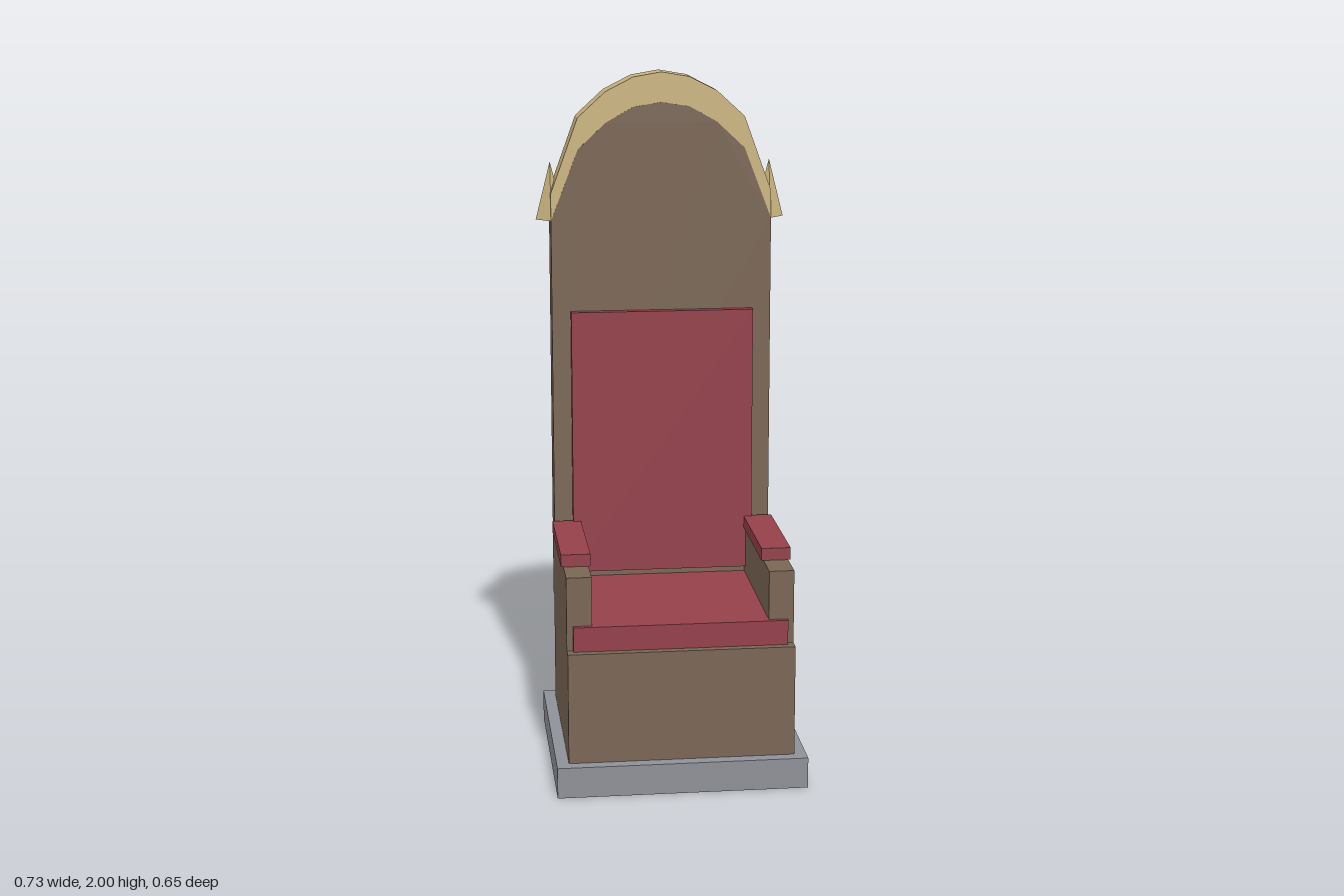
import * as THREE from 'three';

export function createModel() {
  const model = new THREE.Group();
  model.name = 'throne';

  const material = (name, color) => {
    const m = new THREE.MeshStandardMaterial({ color, flatShading: true });
    m.name = name;
    return m;
  };
  const wood = material('brown wood', 0x7a6655);
  const cloth = material('red cloth', 0x94404a);
  const gold = material('pale gold', 0xcbb480);
  const stone = material('grey stone', 0x8f9198);

  const add = (name, geometry, mat) => {
    const mesh = new THREE.Mesh(geometry, mat);
    mesh.name = name;
    model.add(mesh);
    return mesh;
  };
  // Box given by its lower and upper limits on each axis
  const box = (name, mat, [x0, x1], [y0, y1], [z0, z1]) =>
    add(name, new THREE.BoxGeometry(x1 - x0, y1 - y0, z1 - z0), mat)
      .position.set((x0 + x1) / 2, (y0 + y1) / 2, (z0 + z1) / 2);
  // Flat outline extruded between two depths
  const slab = (name, mat, points, z0, z1) => {
    const shape = new THREE.Shape(points.map(([x, y]) => new THREE.Vector2(x, y)));
    const geometry = new THREE.ExtrudeGeometry(shape, { depth: z1 - z0, bevelEnabled: false });
    add(name, geometry.translate(0, 0, z0), mat);
  };
  // Mirrors a half arch (centre to right) into a full run from right to left
  const arch = (half) => [
    ...half.slice().reverse(),
    ...half.slice(1).map(([x, y]) => [-x, y]),
  ];

  // Plinth and seat block
  box('plinth', stone, [-0.36, 0.36], [0, 0.09], [-0.325, 0.325]);
  box('seatBlock', wood, [-0.325, 0.325], [0.09, 0.415], [-0.285, 0.29]);

  // Cushions
  box('seatCushion', cloth, [-0.307, 0.307], [0.415, 0.487], [-0.232, 0.267]);
  box('backCushion', cloth, [-0.27, 0.27], [0.508, 1.302], [-0.235, -0.206]);

  // Tall back with an arched top
  const inner = arch([[0, 1.913], [0.082, 1.9], [0.163, 1.855], [0.245, 1.778], [0.325, 1.57]]);
  const outer = arch([[0, 2], [0.082, 1.986], [0.163, 1.945], [0.245, 1.87], [0.325, 1.65]]);
  slab('backrest', wood, [[-0.325, 0.415], [0.325, 0.415], ...inner], -0.318, -0.231);

  // Gilded band following the arch
  slab('archTrim', gold, [...outer, ...inner.slice().reverse()], -0.319, -0.232);

  for (const side of [1, -1]) {
    const prefix = side > 0 ? 'left' : 'right';
    const span = (a, b) => (side > 0 ? [a, b] : [-b, -a]);
    // Armrest with its pad
    box(prefix + 'Arm', wood, span(0.253, 0.325), [0.415, 0.63], [-0.232, 0.253]);
    box(prefix + 'ArmPad', cloth, span(0.247, 0.332), [0.63, 0.666], [-0.217, 0.144]);
    // Four-sided finial at the foot of the arch
    add(prefix + 'Finial', new THREE.ConeGeometry(0.043, 0.17, 4), gold)
      .position.set(side * 0.324, 1.655, -0.2755);
  }

  return model;
}
